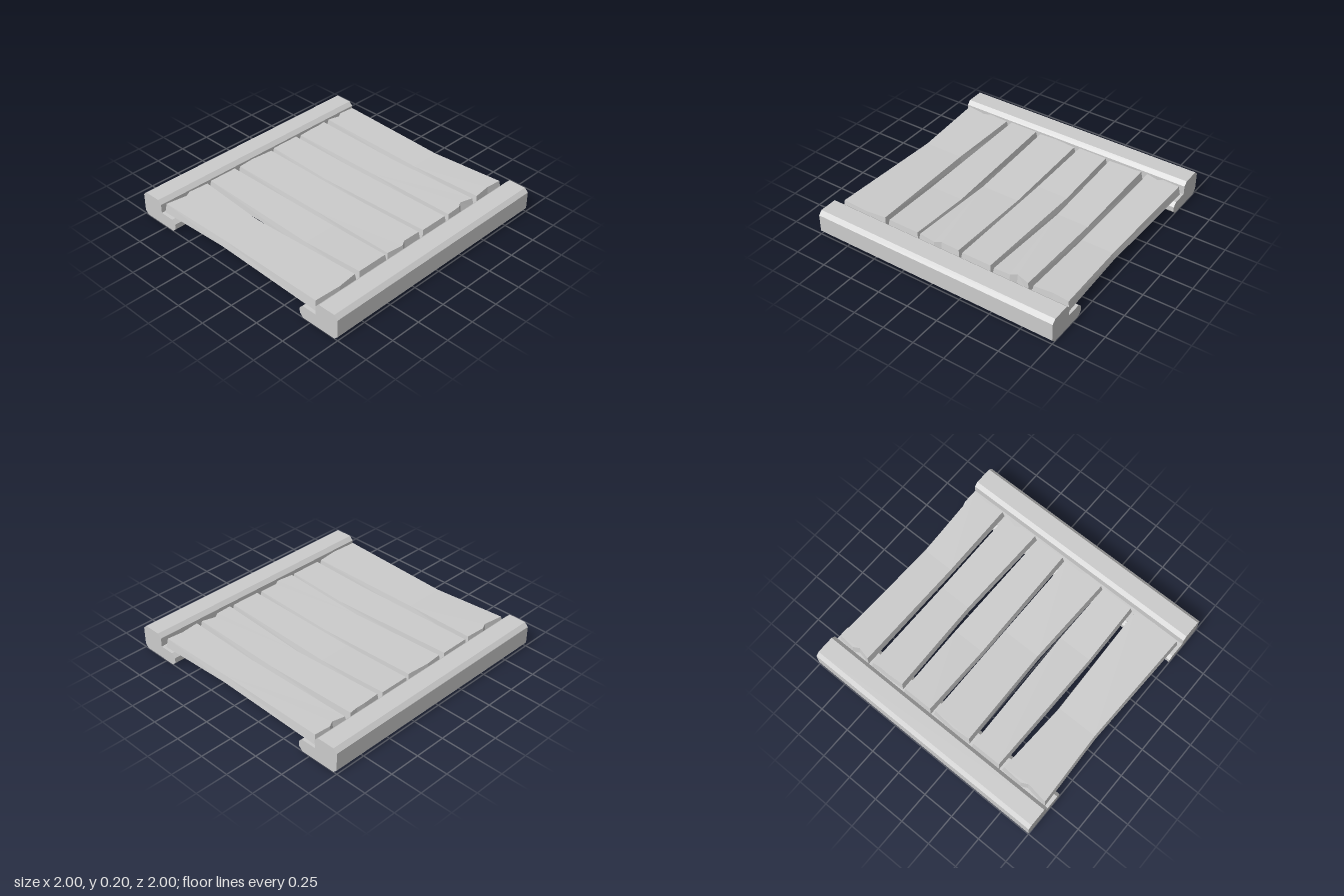
import * as THREE from 'three';

const material = new THREE.MeshStandardMaterial({ color: 0xcccccc, flatShading: true });

// Rail: chamfered beam with an inner ledge, profile in (z, y), run along x
function makeRail(name) {
  const profile = [
    [0.68, 0], [0.97, 0], [1, 0.03], [1, 0.17], [0.97, 0.2], [0.83, 0.2],
    [0.8, 0.17], [0.8, 0.1], [0.68, 0.1], [0.65, 0.07], [0.65, 0.03],
  ].map(([z, y]) => new THREE.Vector2(z, y));
  const geometry = new THREE.ExtrudeGeometry(new THREE.Shape(profile), { depth: 2, bevelEnabled: false });
  geometry.rotateY(-Math.PI / 2).translate(1, 0, 0);
  const rail = new THREE.Mesh(geometry, material);
  rail.name = name;
  return rail;
}

// Plank: ragged ends, a bent waist line, sides leaning in and a sagging top
function makePlank({ back, front, waist: [waistZ, waistLeft, waistRight] }) {
  const BOTTOM = 0.1, END_TOP = 0.175, WAIST_TOP = 0.155, LEAN = 0.011;
  const point = (x, z, isWaist, side) => ({
    low: new THREE.Vector3(x, BOTTOM, z),
    high: new THREE.Vector3(x - side * LEAN, isWaist ? WAIST_TOP : END_TOP,
      isWaist ? z : z - Math.sign(z) * LEAN),
  });
  const row = (pts) => pts.map(([x, z], i) =>
    point(x, z, false, i === 0 ? -1 : i === pts.length - 1 ? 1 : 0));
  const b = row(back), f = row(front).reverse();
  const wl = point(waistLeft, waistZ, true, -1), wr = point(waistRight, waistZ, true, 1);
  const positions = [];
  const tri = (...v) => v.forEach((p) => positions.push(p.x, p.y, p.z));

  // Top and bottom, one half on each side of the waist
  for (const half of [[...b, wr, wl], [wl, wr, ...f]]) {
    const flat = half.map((p) => new THREE.Vector2(p.low.x, p.low.z));
    for (const face of THREE.ShapeUtils.triangulateShape(flat, [])) {
      const corners = face.map((i) => flat[i]);
      const [i, j, k] = THREE.ShapeUtils.area(corners) < 0 ? face : [...face].reverse();
      tri(half[i].high, half[j].high, half[k].high);
      tri(half[i].low, half[k].low, half[j].low);
    }
  }
  // Sides
  const loop = [...b, wr, ...f, wl];
  loop.forEach((p, i) => {
    const q = loop[(i + 1) % loop.length];
    tri(p.low, p.high, q.high);
    tri(p.low, q.high, q.low);
  });

  const geometry = new THREE.BufferGeometry();
  geometry.setAttribute('position', new THREE.Float32BufferAttribute(positions, 3));
  geometry.computeVertexNormals();
  return new THREE.Mesh(geometry, material);
}

export function createModel() {
  const model = new THREE.Group();
  model.name = 'plankFloor';

  const backRail = makeRail('backRail');
  backRail.rotation.y = Math.PI;
  model.add(makeRail('frontRail'), backRail);

  // End outlines as (x, z) from -x to +x; waist as z, left x, right x
  const planks = [
    { back: [[-0.975, -0.79], [-0.8, -0.765], [-0.75, -0.79], [-0.577, -0.78]],
      front: [[-0.975, 0.774], [-0.75, 0.784], [-0.577, 0.766]], waist: [-0.18, -0.95, -0.605] },
    { back: [[-0.557, -0.788], [-0.3, -0.788]],
      front: [[-0.557, 0.768], [-0.281, 0.768]], waist: [0.25, -0.567, -0.273] },
    { back: [[-0.275, -0.78], [-0.13, -0.79], [0.066, -0.775]],
      front: [[-0.278, 0.768], [-0.13, 0.784], [-0.085, 0.757], [0.075, 0.76]], waist: [0.03, -0.256, 0.077] },
    { back: [[0.084, -0.788], [0.344, -0.788]],
      front: [[0.09, 0.768], [0.349, 0.768]], waist: [-0.2, 0.08, 0.358] },
    { back: [[0.362, -0.775], [0.5, -0.782], [0.58, -0.78], [0.656, -0.788]],
      front: [[0.362, 0.774], [0.5, 0.768], [0.545, 0.74], [0.66, 0.77]], waist: [0, 0.383, 0.66] },
    { back: [[0.687, -0.788], [0.795, -0.765], [0.84, -0.79], [0.979, -0.78]],
      front: [[0.683, 0.774], [0.84, 0.758], [0.979, 0.77]], waist: [0.15, 0.682, 0.957] },
  ];
  planks.forEach((spec, i) => {
    const plank = makePlank(spec);
    plank.name = `plank${i + 1}`;
    model.add(plank);
  });
  return model;
}
